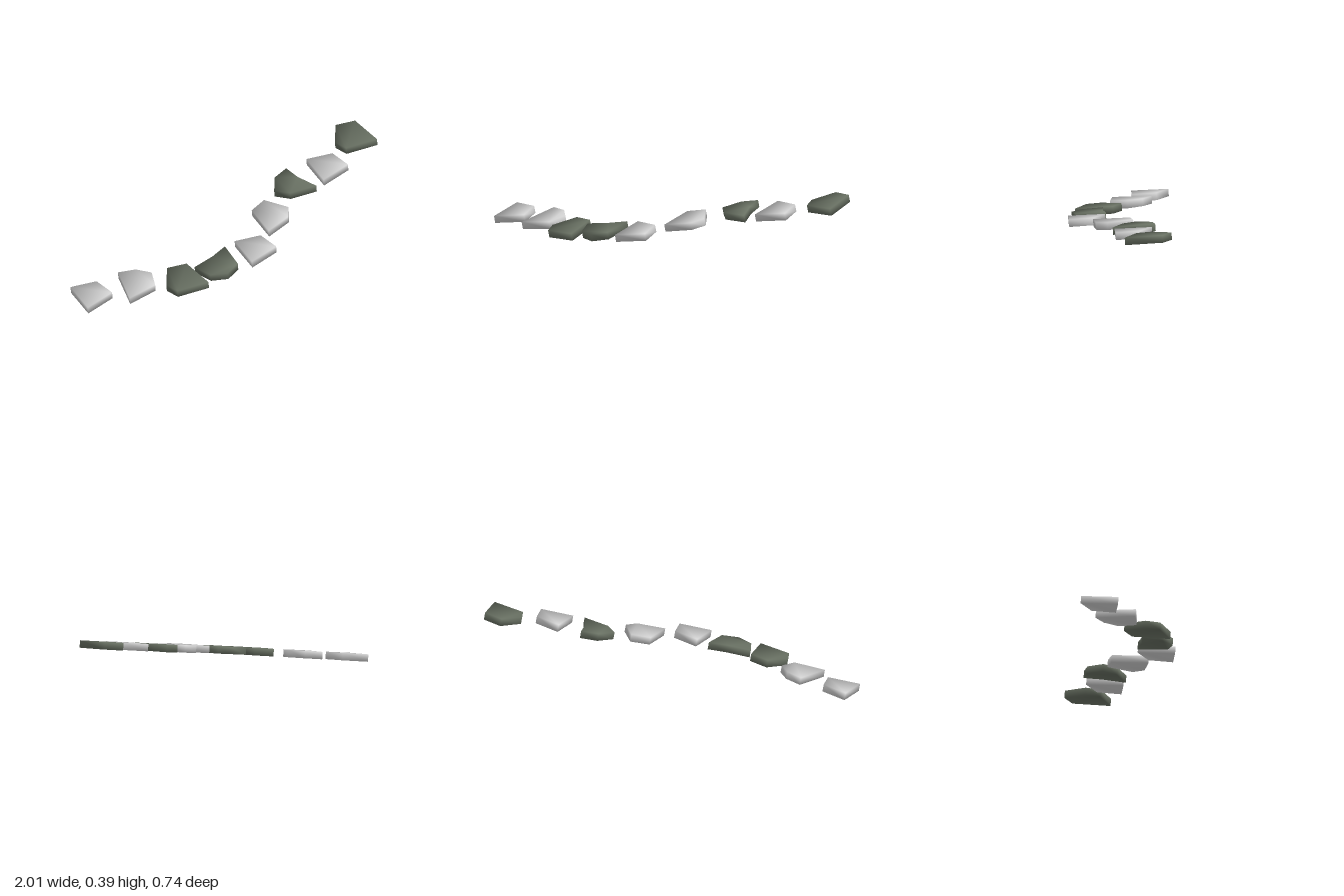
import * as THREE from 'three';
import { toCreasedNormals } from 'three/addons/utils/BufferGeometryUtils.js';

const paleStone = new THREE.MeshStandardMaterial({ color: 0xd4d4d4 });
paleStone.name = 'paleStone';
const mossyStone = new THREE.MeshStandardMaterial({ color: 0x6b7365 });
mossyStone.name = 'mossyStone';

const THICKNESS = 0.04;

// The path climbs towards +x and -z: all slabs lie in one sloping plane
const slope = new THREE.Matrix4()
  .makeBasis(
    new THREE.Vector3(1, 0.15, 0),
    new THREE.Vector3(-0.15, 1, 0.105),
    new THREE.Vector3(0, -0.105, 1)
  )
  .setPosition(0, 0.209, 0);

// Slab with the given [x, z] outline, softly shaded over its edges
function slab(outline) {
  const shape = new THREE.Shape(outline.map(([x, z]) => new THREE.Vector2(x, -z)));
  const geo = new THREE.ExtrudeGeometry(shape, { depth: THICKNESS, bevelEnabled: false });
  geo.rotateX(-Math.PI / 2);
  geo.translate(0, -THICKNESS, 0);
  geo.applyMatrix4(slope);
  return toCreasedNormals(geo, Math.PI);
}

// Repeated four-sided slab, placed by its front left corner
const quad = (x, z) => [[0, 0], [0.013, -0.207], [0.153, -0.165], [0.173, -0.033]]
  .map(([dx, dz]) => [x + dx, z + dz]);

// Repeated five-sided slab, placed by its left corner
const wedge = (x, z) => [[0, 0], [0.077, -0.123], [0.182, -0.092], [0.198, 0.115], [0.023, 0.08]]
  .map(([dx, dz]) => [x + dx, z + dz]);

// Slabs in walking order
const stones = [
  [paleStone, quad(-1, 0.16)],
  [paleStone, [[-0.775, 0.227], [-0.715, 0], [-0.625, 0.035], [-0.567, 0.11], [-0.605, 0.212]]],
  [mossyStone, wedge(-0.557, 0.25)],
  [mossyStone, [[-0.355, 0.21], [-0.23, 0.19], [-0.132, 0.157], [-0.15, 0.325], [-0.235, 0.363], [-0.32, 0.32]]],
  [paleStone, quad(-0.08, 0.357)],
  [paleStone, [[0.128, 0.185], [0.142, -0.02], [0.24, -0.055], [0.317, 0.075], [0.275, 0.145]]],
  [mossyStone, [[0.325, -0.09], [0.385, -0.185], [0.475, -0.215], [0.488, -0.115], [0.532, 0.01], [0.385, -0.02]]],
  [paleStone, quad(0.59, -0.01)],
  [mossyStone, wedge(0.802, -0.248)],
];

export function createModel() {
  const group = new THREE.Group();
  group.name = 'steppingStonePath';
  stones.forEach(([material, outline], i) => {
    const mesh = new THREE.Mesh(slab(outline), material);
    mesh.name = `steppingStone${i + 1}`;
    group.add(mesh);
  });
  return group;
}
